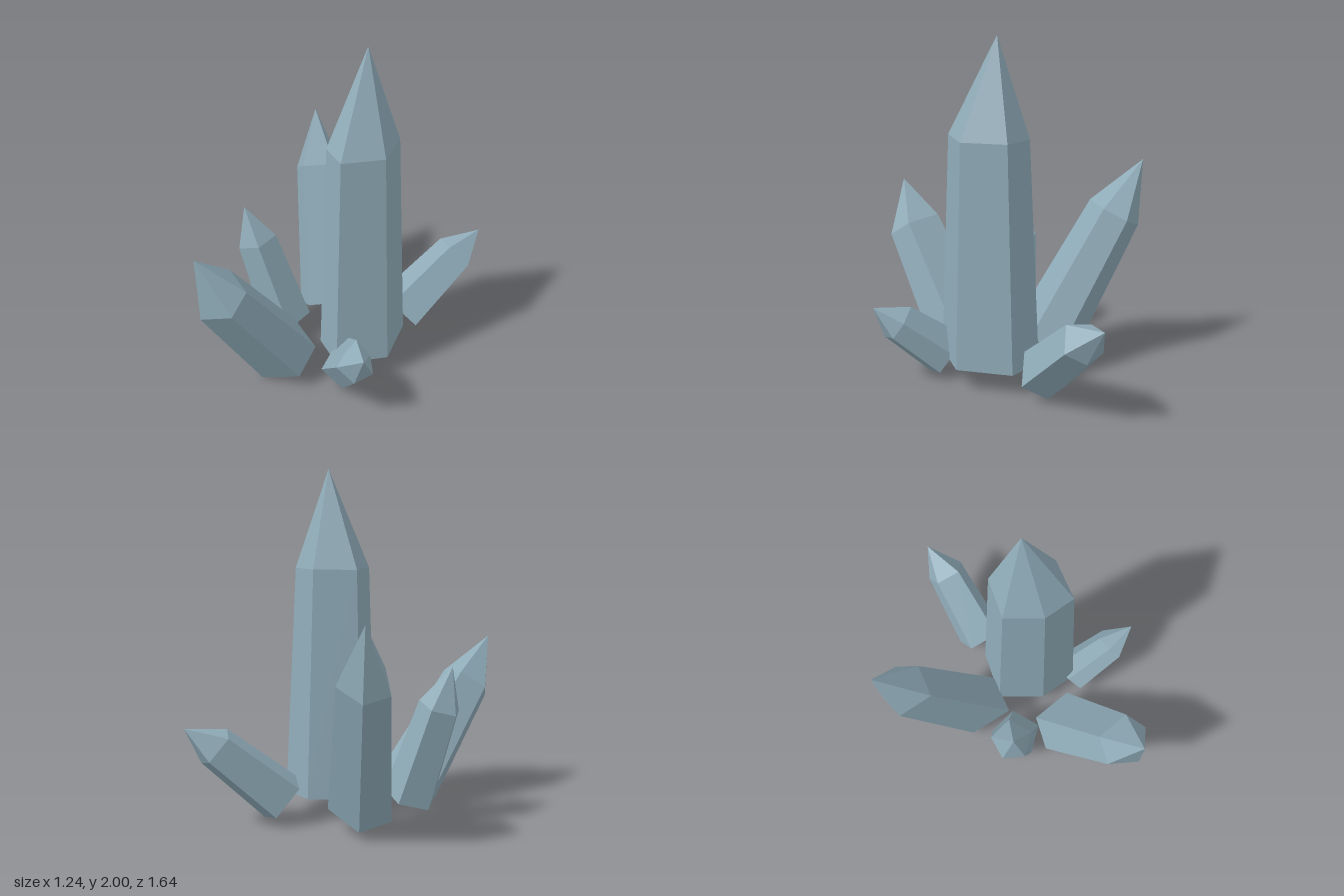
import * as THREE from 'three';

// Each crystal: base outline in [x, z], base centre, shoulder centre and tip.
const CRYSTALS = [
  { name: 'mainCrystal', base: [0.15, 0.13, -0.015], shoulder: [0.147, 1.44, -0.007], tip: [0.162, 2, -0.06],
    ring: [[0.4, 0.095], [0.16, 0.29], [-0.03, 0.14], [-0.11, -0.135], [0.14, -0.31], [0.355, -0.23]] },
  { name: 'backRightCrystal', base: [-0.185, 0.135, -0.247], shoulder: [-0.432, 0.905, -0.586], tip: [-0.525, 1.23, -0.718],
    ring: [[-0.02, -0.2], [-0.21, -0.04], [-0.38, -0.235], [-0.275, -0.4], [-0.045, -0.37]] },
  { name: 'sideCrystal', base: [-0.333, 0.135, 0.04], shoulder: [-0.508, 0.68, 0.07], tip: [-0.565, 0.91, 0.1],
    ring: [[-0.235, 0.165], [-0.41, 0.165], [-0.47, 0.01], [-0.35, -0.115], [-0.195, -0.02]] },
  { name: 'frontRightCrystal', base: [-0.16, 0.125, 0.32], shoulder: [-0.332, 0.71, 0.705], tip: [-0.422, 0.99, 0.82],
    ring: [[0.015, 0.285], [-0.005, 0.45], [-0.25, 0.47], [-0.36, 0.25], [-0.21, 0.14]] },
  { name: 'backLeftCrystal', base: [0.272, 0.13, -0.384], shoulder: [0.507, 0.46, -0.677], tip: [0.6, 0.585, -0.82],
    ring: [[0.41, -0.305], [0.26, -0.265], [0.13, -0.4], [0.21, -0.51], [0.35, -0.44]] },
  { name: 'frontLeftCrystal', base: [0.193, 0.13, 0.26], shoulder: [0.374, 0.357, 0.473], tip: [0.475, 0.465, 0.577],
    ring: [[0.32, 0.235], [0.23, 0.35], [0.095, 0.36], [0.113, 0.27], [0.155, 0.17], [0.265, 0.175]] },
];
const TAPER = 0.8; // shoulder size relative to the base

function crystalGeometry({ base, shoulder, tip, ring }) {
  const foot = new THREE.Vector3(...base);
  const neck = new THREE.Vector3(...shoulder);
  const point = new THREE.Vector3(...tip);
  const axis = neck.clone().sub(foot);

  // Base corners lie in the plane square to the crystal's axis
  const offsets = ring.map(([x, z]) => {
    const dx = x - foot.x, dz = z - foot.z;
    return new THREE.Vector3(dx, -(axis.x * dx + axis.z * dz) / axis.y, dz);
  });
  const low = offsets.map((o) => foot.clone().add(o));
  const high = offsets.map((o) => neck.clone().addScaledVector(o, TAPER));

  const corners = [];
  for (let i = 0; i < ring.length; i++) {
    const j = (i + 1) % ring.length;
    corners.push(low[i], high[i], low[j], low[j], high[i], high[j]); // side
    corners.push(high[i], point, high[j]); // point
    corners.push(low[i], low[j], foot); // underside
  }
  const geometry = new THREE.BufferGeometry().setFromPoints(corners);
  geometry.computeVertexNormals();
  return geometry;
}

export function createModel() {
  const crystal = new THREE.MeshStandardMaterial({ color: 0x8fabb8, flatShading: true });
  crystal.name = 'paleBlueCrystal';

  const model = new THREE.Group();
  model.name = 'crystalCluster';
  for (const spec of CRYSTALS) {
    const mesh = new THREE.Mesh(crystalGeometry(spec), crystal);
    mesh.name = spec.name;
    model.add(mesh);
  }
  return model;
}
